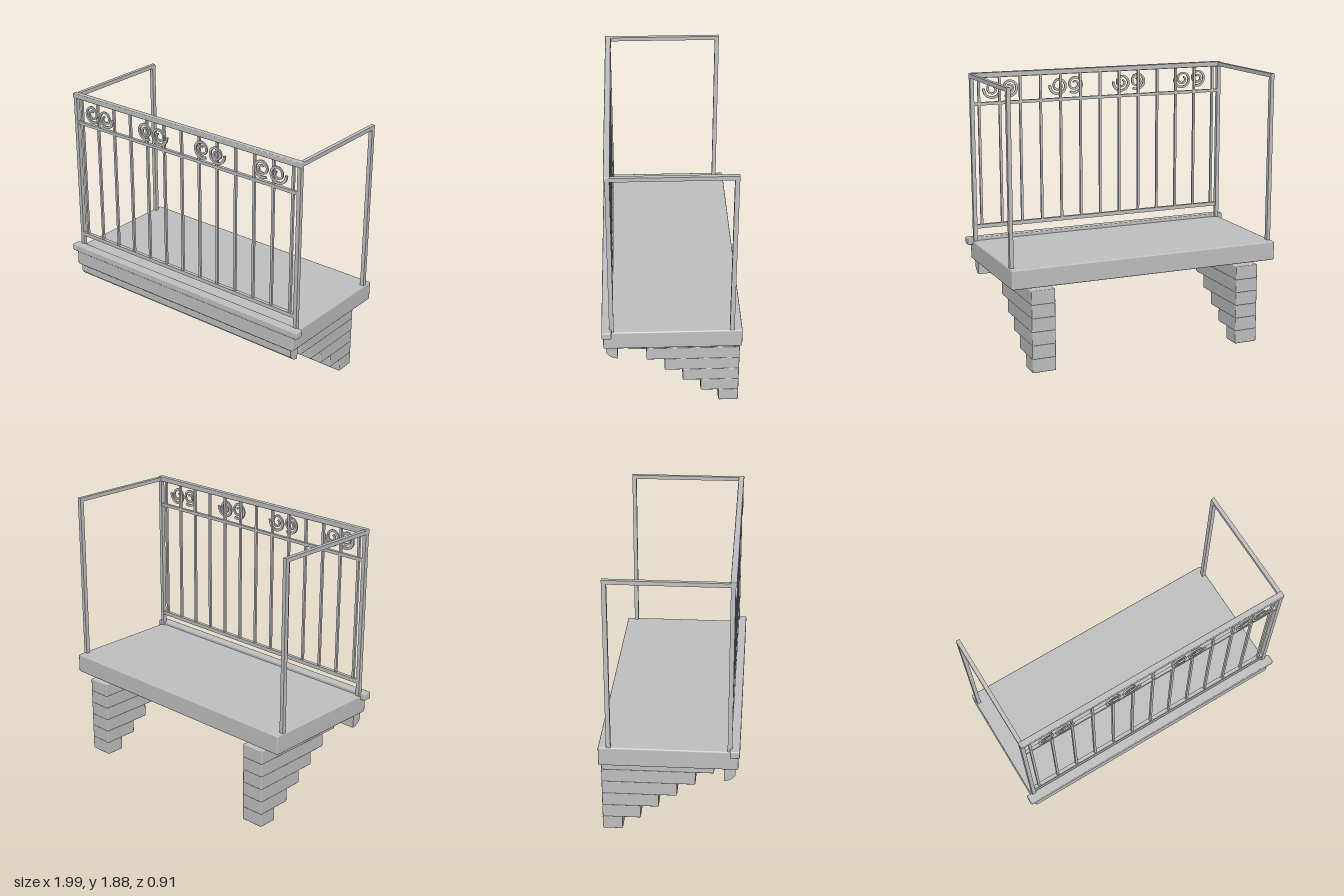
import * as THREE from 'three';
import { RoundedBoxGeometry } from 'three/addons/geometries/RoundedBoxGeometry.js';

export function createModel() {
  const model = new THREE.Group();
  model.name = 'balcony';
  const stone = new THREE.MeshStandardMaterial({ color: 0xc0c0c0 });
  stone.name = 'light grey';

  const add = (name, geometry, parent = model) => {
    const mesh = new THREE.Mesh(geometry, stone);
    mesh.name = name;
    parent.add(mesh);
    return mesh;
  };
  // Box given by its limits on each axis, with an optional softened edge
  const block = (name, x0, x1, y0, y1, z0, z1, bevel = 0, parent = model) => {
    const size = [x1 - x0, y1 - y0, z1 - z0];
    const geometry = bevel
      ? new RoundedBoxGeometry(...size, 1, bevel)
      : new THREE.BoxGeometry(...size);
    const mesh = add(name, geometry, parent);
    mesh.position.set((x0 + x1) / 2, (y0 + y1) / 2, (z0 + z1) / 2);
    return mesh;
  };
  const group = (name) => {
    const g = new THREE.Group();
    g.name = name;
    model.add(g);
    return g;
  };

  // Floor slab and front lip
  block('floorSlab', -0.96, 0.96, 0.577, 0.71, -0.455, 0.443, 0.01);
  block('frontLip', -0.995, 0.995, 0.682, 0.732, 0.388, 0.452, 0.008);

  // Quarter-round moulding under the front edge (profile drawn in z, y)
  const profile = new THREE.Shape();
  profile.moveTo(0.352, 0.58);
  profile.lineTo(0.352, 0.477);
  profile.quadraticCurveTo(0.405, 0.483, 0.426, 0.525);
  profile.lineTo(0.426, 0.58);
  const moulding = add('frontMoulding', new THREE.ExtrudeGeometry(profile,
    { depth: 1.87, bevelEnabled: false, curveSegments: 6 }));
  moulding.rotation.y = -Math.PI / 2;
  moulding.scale.z = 1;
  // Turned so that the profile's depth axis runs along x
  moulding.geometry.applyMatrix4(new THREE.Matrix4().makeTranslation(0, 0, -0.935));

  // Stepped brackets, each course reaching further forward
  for (const side of [-1, 1]) {
    const bracket = group(side < 0 ? 'rightBracket' : 'leftBracket');
    for (let i = 0; i < 6; i++) {
      block('bracketCourse', side * 0.747 - 0.082, side * 0.747 + 0.082,
        i * 0.092 + 0.001, i * 0.092 + 0.098, -0.455, -0.32 + i * 0.121, 0.007, bracket);
    }
  }

  // Railing frame: posts, side rails and three front rails
  const railing = group('railing');
  for (const side of [-1, 1]) {
    const x0 = side * 0.941 - 0.013, x1 = side * 0.941 + 0.013;
    block('frontPost', x0, x1, 0.7, 1.86, 0.373, 0.402, 0, railing);
    block('backPost', x0, x1, 0.7, 1.86, -0.402, -0.373, 0, railing);
    block('sideRail', x0, x1, 1.845, 1.872, -0.402, 0.39, 0, railing);
  }
  block('topRail', -0.955, 0.955, 1.842, 1.878, 0.37, 0.41, 0.006, railing);
  block('middleRail', -0.93, 0.93, 1.655, 1.676, 0.377, 0.398, 0, railing);
  block('bottomRail', -0.93, 0.93, 0.798, 0.825, 0.375, 0.4, 0, railing);
  for (let i = -6; i <= 6; i++) {
    const x = i * 0.1485;
    block('baluster', x - 0.008, x + 0.008, 0.81, 1.85, 0.38, 0.396, 0, railing);
  }

  // Flat spiral ribbon winding inwards clockwise from a start angle
  const spiral = (startAngle, turns, r0, r1, width) => {
    const outer = [], inner = [], n = 40;
    for (let i = 0; i <= n; i++) {
      const t = i / n;
      const a = startAngle - t * turns * Math.PI * 2;
      const r = r0 + (r1 - r0) * t;
      const w = width * (1 - 0.3 * t) / 2;
      outer.push(new THREE.Vector2(Math.cos(a) * (r + w), Math.sin(a) * (r + w)));
      inner.push(new THREE.Vector2(Math.cos(a) * (r - w), Math.sin(a) * (r - w)));
    }
    return new THREE.ExtrudeGeometry(new THREE.Shape([...outer, ...inner.reverse()]),
      { depth: 0.01, bevelEnabled: false });
  };
  const leftCurl = spiral(-1.0, 1.7, 0.062, 0.016, 0.018);
  const rightCurl = spiral(0.1, 1.7, 0.066, 0.016, 0.018);

  // Four pairs of scrolls along the top of the front railing
  for (let i = 0; i < 4; i++) {
    const scroll = group('scroll');
    scroll.position.set(-0.715 + i * 0.481, 1.765, 0.4);
    add('scrollCurl', leftCurl, scroll).position.set(-0.062, 0, 0);
    add('scrollCurl', rightCurl, scroll).position.set(0.058, -0.006, 0);
  }

  // Moulding profile runs in +z after the turn, so mirror is not needed
  moulding.rotation.y = -Math.PI / 2;
  return model;
}
